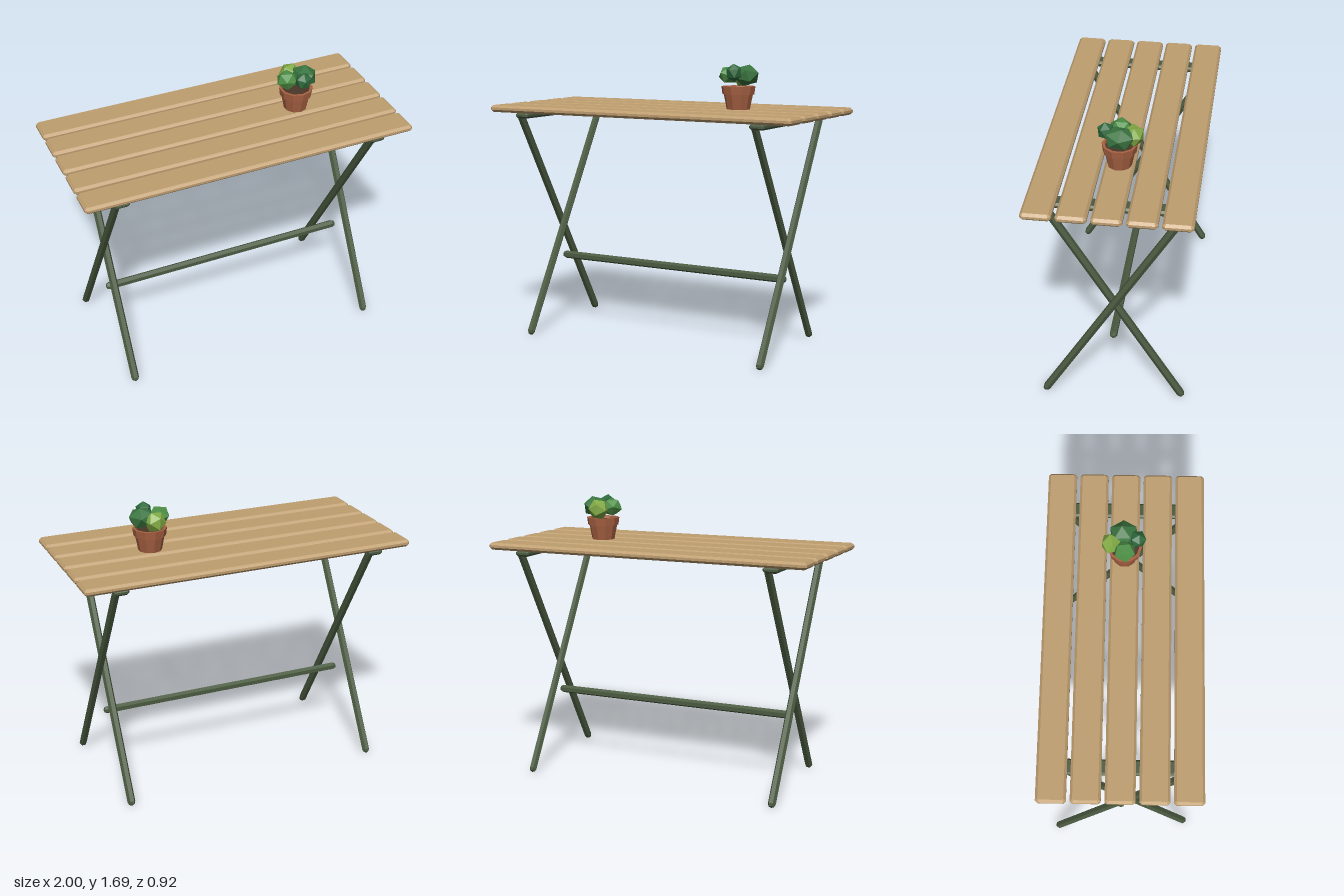
import * as THREE from 'three';

const mat = (color) => new THREE.MeshStandardMaterial({ color, flatShading: true });
const wood = mat(0xbf9e70);
const metal = mat(0x4b5b41);
const clay = mat(0xa86142);
const soil = mat(0x4a3628);

function add(parent, name, geometry, material, x = 0, y = 0, z = 0) {
  const mesh = new THREE.Mesh(geometry, material);
  mesh.name = name;
  mesh.position.set(x, y, z);
  parent.add(mesh);
  return mesh;
}

// Box with every edge chamfered by c, centred on the origin
function chamferBox(w, h, d, c) {
  const a = w / 2, b = d / 2;
  const shape = new THREE.Shape([
    [a - c, -b], [a, -b + c], [a, b - c], [a - c, b],
    [-a + c, b], [-a, b - c], [-a, -b + c], [-a + c, -b],
  ].map(([x, y]) => new THREE.Vector2(x, y)));
  const geometry = new THREE.ExtrudeGeometry(shape, {
    depth: h - 2 * c, bevelThickness: c, bevelSize: c, bevelOffset: -c, bevelSegments: 1,
  });
  geometry.translate(0, 0, c - h / 2);
  return geometry.rotateX(-Math.PI / 2);
}

// Six-sided rod with blunt domed ends
function rod(parent, name, from, to, r) {
  const dir = to.clone().sub(from);
  const length = dir.length();
  const mesh = add(parent, name, new THREE.CapsuleGeometry(r, length - 2 * r, 2, 6), metal);
  mesh.position.copy(from).add(to).multiplyScalar(0.5);
  mesh.quaternion.setFromUnitVectors(new THREE.Vector3(0, 1, 0), dir.normalize());
  return mesh;
}

export function createModel() {
  const table = new THREE.Group();
  table.name = 'foldingTable';

  // Table top: five slats
  const top = new THREE.Group();
  top.name = 'tableTop';
  table.add(top);
  const slat = chamferBox(2, 0.042, 0.168, 0.014);
  for (let i = -2; i <= 2; i++) add(top, 'slat', slat, wood, 0, 1.401, i * 0.188);

  // Two crossed leg frames, the second turned half way round
  for (const side of [1, -1]) {
    const frame = new THREE.Group();
    frame.name = side > 0 ? 'leftLegFrame' : 'rightLegFrame';
    frame.rotation.y = side > 0 ? 0 : Math.PI;
    table.add(frame);
    add(frame, 'topRail', chamferBox(0.088, 0.034, 0.875, 0.011), metal, 0.785, 1.364, 0);
    rod(frame, 'outerLeg', new THREE.Vector3(0.808, 0.002, 0.41), new THREE.Vector3(0.808, 1.375, -0.41), 0.024);
    rod(frame, 'innerLeg', new THREE.Vector3(0.762, 0.002, -0.41), new THREE.Vector3(0.762, 1.375, 0.41), 0.024);
  }

  // Stretcher between the frames
  rod(table, 'stretcher', new THREE.Vector3(-0.785, 0.44, 0), new THREE.Vector3(0.785, 0.44, 0), 0.024);

  // Potted plant
  const plant = new THREE.Group();
  plant.name = 'pottedPlant';
  plant.position.set(0.462, 1.42, 0);
  table.add(plant);
  const potProfile = [
    [0, 0], [0.068, 0], [0.086, 0.09], [0.094, 0.09], [0.1, 0.136], [0.084, 0.136], [0.08, 0.115],
  ].map(([x, y]) => new THREE.Vector2(x, y));
  add(plant, 'pot', new THREE.LatheGeometry(potProfile, 10), clay);
  add(plant, 'soil', new THREE.CylinderGeometry(0.082, 0.078, 0.02, 10), soil, 0, 0.11, 0);

  // Foliage clumps: position, radii, turn, colour
  const clumps = [
    [[0.048, 0.2, -0.005], [0.08, 0.064, 0.088], 0.3, 0x3a7440],
    [[-0.06, 0.2, 0.0], [0.066, 0.056, 0.066], 1.1, 0x4d8f45],
    [[0.008, 0.217, 0.074], [0.05, 0.052, 0.05], 0.7, 0x2f6a3d],
    [[-0.008, 0.19, -0.076], [0.064, 0.064, 0.062], 0.1, 0x82ab45],
  ];
  for (const [position, radii, turn, color] of clumps) {
    const geometry = new THREE.IcosahedronGeometry(1, 0).rotateZ(turn).rotateY(turn * 2);
    const clump = add(plant, 'foliage', geometry, mat(color), ...position);
    clump.scale.set(...radii);
  }
  return table;
}
